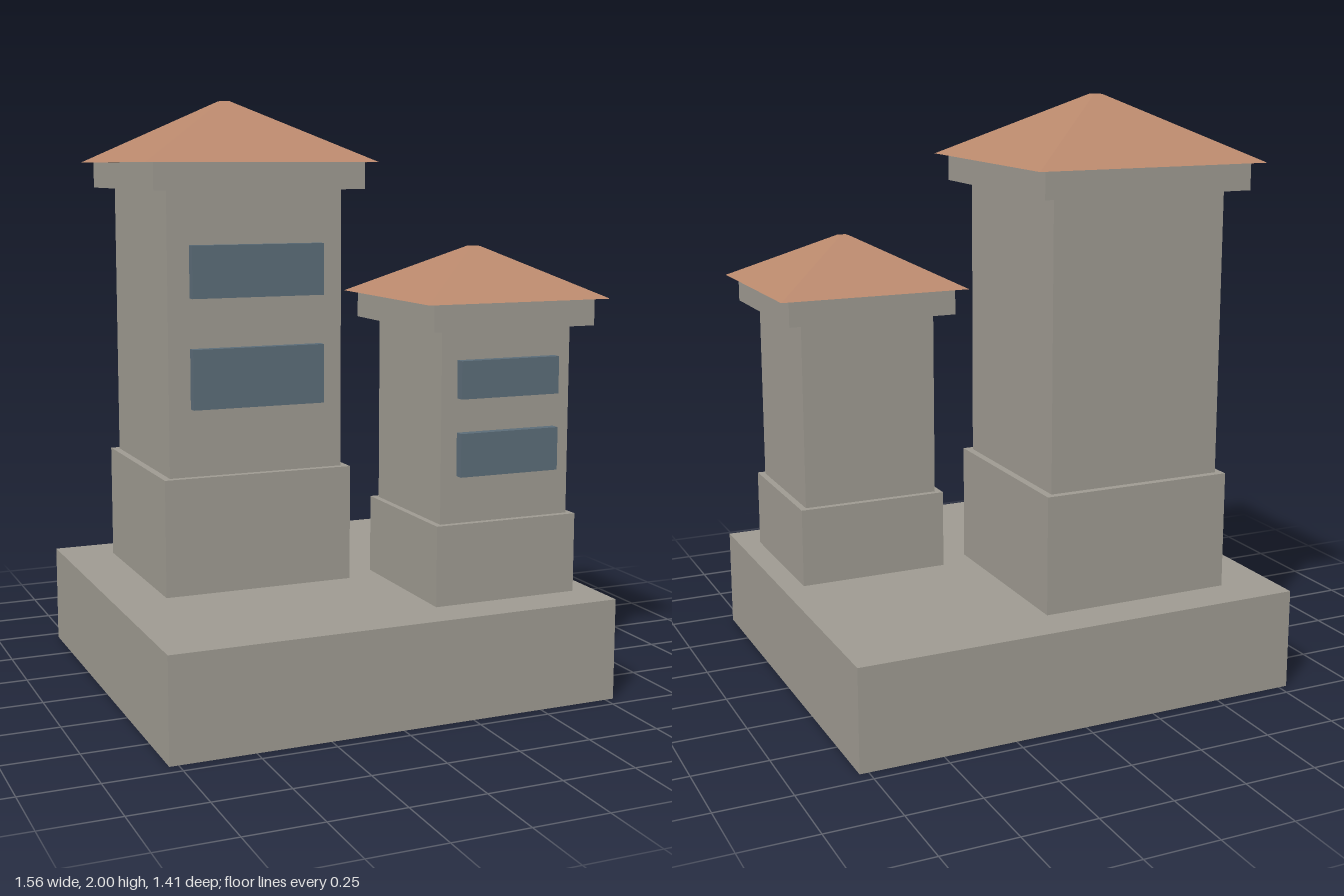
import * as THREE from 'three';

const material = (name, color) => {
  const m = new THREE.MeshStandardMaterial({ color, flatShading: true });
  m.name = name;
  return m;
};

export function createModel() {
  const stone = material('stone', 0x9e9a91);
  const tile = material('roofTile', 0xb9886c);
  const glass = material('windowGlass', 0x5b6c78);

  // Box given by its bottom and top heights
  function block(parent, name, mat, w, d, y0, y1, x = 0, z = 0) {
    const mesh = new THREE.Mesh(new THREE.BoxGeometry(w, y1 - y0, d), mat);
    mesh.name = name;
    mesh.position.set(x, (y0 + y1) / 2, z);
    parent.add(mesh);
  }

  // Square tower: plinth, shaft, cornice, pyramid roof and front window bands
  function tower(name, x, z, t) {
    const g = new THREE.Group();
    g.name = name;
    g.position.set(x, 0, z);
    const [y0, y1, y2, y3, y4] = t.levels;
    block(g, 'plinth', stone, t.plinth, t.plinth, y0, y1);
    block(g, 'shaft', stone, t.shaft, t.shaft, y1, y2);
    block(g, 'cornice', stone, t.cornice, t.cornice, y2, y3);

    // Four-sided roof with a tiny flat top
    const roofGeo = new THREE.CylinderGeometry(0.016 * Math.SQRT2, t.roof * Math.SQRT1_2, y4 - y3, 4);
    roofGeo.rotateY(Math.PI / 4);
    const roof = new THREE.Mesh(roofGeo, tile);
    roof.name = 'roof';
    roof.position.y = (y3 + y4) / 2;
    g.add(roof);

    // Projecting glass bands
    t.windows.forEach(([b, top], i) =>
      block(g, `window${i + 1}`, glass, t.windowWidth, 0.04, b, top, 0, t.shaft / 2 + 0.012));
    return g;
  }

  const model = new THREE.Group();
  model.name = 'twinTowers';
  block(model, 'base', stone, 1.56, 1.41, 0, 0.345);
  model.add(
    tower('tallTower', -0.264, -0.223, {
      levels: [0.345, 0.745, 1.7, 1.79, 2],
      plinth: 0.67, shaft: 0.62, cornice: 0.742, roof: 0.815,
      windowWidth: 0.468, windows: [[0.975, 1.177], [1.345, 1.52]],
    }),
    tower('shortTower', 0.444, 0.298, {
      levels: [0.345, 0.615, 1.255, 1.345, 1.51],
      plinth: 0.52, shaft: 0.476, cornice: 0.592, roof: 0.665,
      windowWidth: 0.361, windows: [[0.773, 0.917], [1.03, 1.155]],
    }),
  );
  return model;
}
